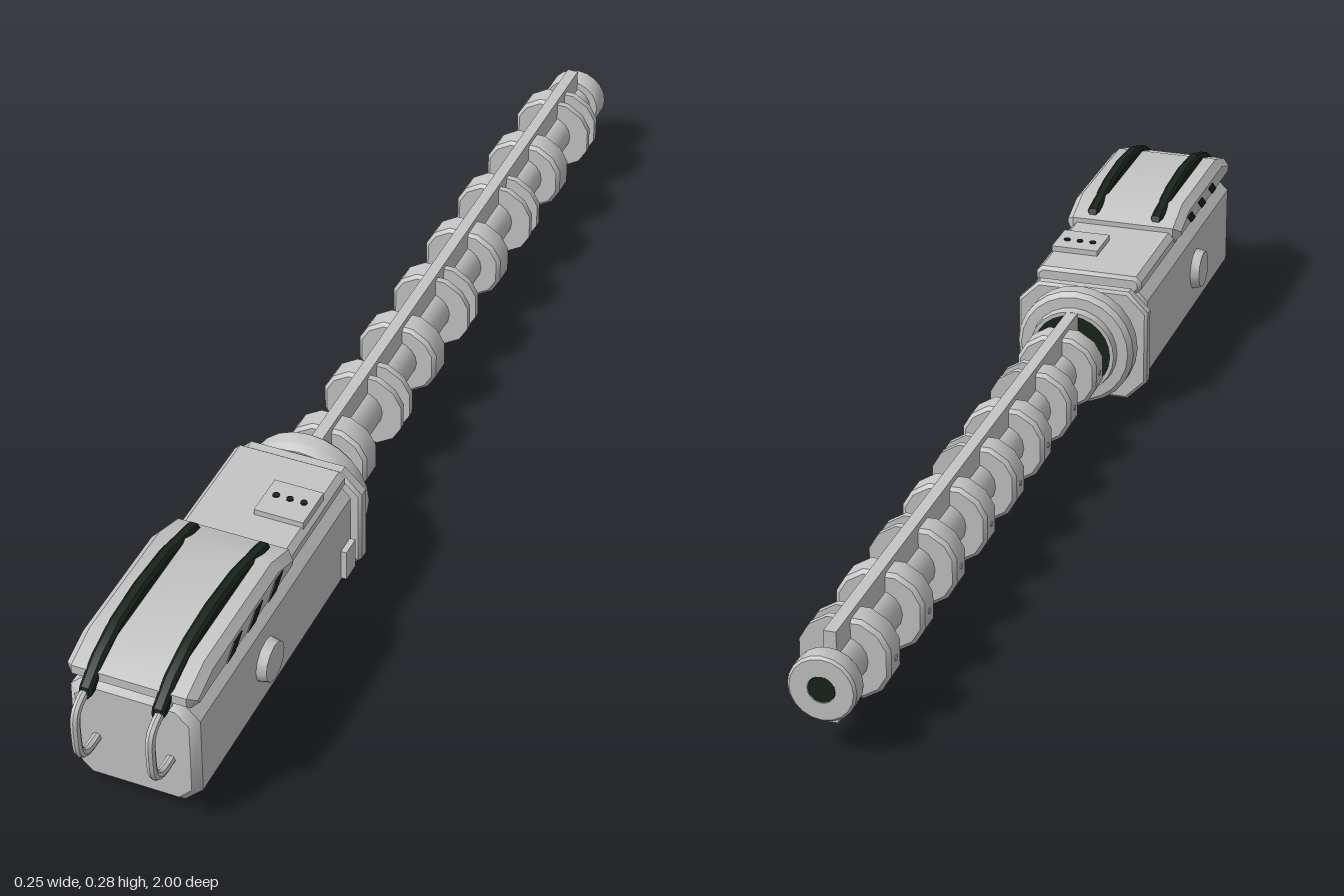
import * as THREE from 'three';
import { toCreasedNormals } from 'three/addons/utils/BufferGeometryUtils.js';

const steel = new THREE.MeshStandardMaterial({ color: 0xc5c5c5 });
steel.name = 'steelGrey';
const dark = new THREE.MeshStandardMaterial({ color: 0x19241c });
dark.name = 'darkRubber';

const AXIS = 0.109; // height of the barrel axis

export function createModel() {
  const model = new THREE.Group();

  const add = (name, geometry, material, x = 0, y = 0, z = 0) => {
    const mesh = new THREE.Mesh(toCreasedNormals(geometry, 0.6), material);
    mesh.name = name;
    mesh.position.set(x, y, z);
    model.add(mesh);
    return mesh;
  };
  const outline = (pts) => new THREE.Shape(pts.map(([x, y]) => new THREE.Vector2(x, y)));
  // Extrusion filling 0..length along z, with a bevel cut into the outline
  const prism = (pts, length, b = 0) => new THREE.ExtrudeGeometry(outline(pts), {
    depth: length - 2 * b, bevelEnabled: b > 0, bevelThickness: b, bevelSize: b,
    bevelOffset: -b, bevelSegments: 1, steps: 1,
  }).translate(0, 0, b);
  // Rectangle with cut corners
  const octagon = (w, y0, y1, c) => [
    [-w, y0 + c], [-w + c, y0], [w - c, y0], [w, y0 + c],
    [w, y1 - c], [w - c, y1], [-w + c, y1], [-w, y1 - c]];
  // Side profile in (z, y) extruded across x, centred
  const across = (pts, width, b = 0) => prism(pts.map(([z, y]) => [-z, y]), width, b)
    .translate(0, 0, -width / 2).rotateY(Math.PI / 2);
  // Lathe around the barrel axis, profile in (radius, z)
  const turned = (pts, sides) => new THREE.LatheGeometry(
    pts.map(([r, z]) => new THREE.Vector2(r, z)), sides).rotateX(Math.PI / 2);

  // Housing with its top cover and rear flange
  add('housing', prism(octagon(0.108, 0.006, 0.207, 0.03), 0.59, 0.013), steel, 0, 0, 0.34);
  add('rearCover', prism(octagon(0.097, 0.19, 0.223, 0.01), 0.25, 0.006), steel, 0, 0, 0.345);
  add('rearFlange', prism(octagon(0.119, 0.001, 0.207, 0.036), 0.026, 0.005), steel, 0, 0, 0.312);
  add('topHump', across([[0.92, 0.203], [0.935, 0.218], [0.935, 0.234], [0.87, 0.256],
    [0.63, 0.256], [0.565, 0.232], [0.565, 0.203]], 0.216, 0.013), steel);

  // Status panel with three dots
  add('statusPanel', new THREE.BoxGeometry(0.085, 0.014, 0.08), steel, 0.048, 0.226, 0.46);
  for (const x of [0.024, 0.048, 0.072]) {
    add('panelDot', new THREE.CylinderGeometry(0.006, 0.006, 0.003, 8), dark, x, 0.234, 0.455);
  }

  // Latch on one side only, with a dark pad on the chamfer below it
  add('sideLatch', new THREE.BoxGeometry(0.018, 0.056, 0.036), steel, 0.109, 0.068, 0.376);
  add('latchPad', new THREE.BoxGeometry(0.008, 0.022, 0.03).rotateZ(-Math.PI / 4),
    dark, 0.097, 0.023, 0.374);

  for (const s of [-1, 1]) {
    // Pivot cap
    add('sideCap', new THREE.CylinderGeometry(0.034, 0.038, 0.018, 12).rotateZ(-s * Math.PI / 2),
      steel, s * 0.115, 0.108, 0.685);
    // Slanted vents
    for (const z of [0.79, 0.715, 0.64]) {
      add('vent', across([[z + 0.034, 0.216], [z + 0.005, 0.216], [z - 0.022, 0.236],
        [z + 0.007, 0.236]], 0.006), dark, s * 0.107);
    }
    // Curved rubber strip over the hump
    add('rubberStrip', across([[0.965, 0.205], [0.96, 0.222], [0.915, 0.25], [0.85, 0.27],
      [0.77, 0.276], [0.68, 0.27], [0.58, 0.247], [0.575, 0.237], [0.63, 0.245],
      [0.87, 0.25], [0.925, 0.227], [0.945, 0.205]], 0.022, 0.005), dark, s * 0.06);
    // Front handle loop
    const path = new THREE.CatmullRomCurve3([[0.21, 0.925], [0.209, 0.965], [0.195, 0.988],
      [0.15, 0.992], [0.112, 0.985], [0.097, 0.965], [0.095, 0.925]]
      .map(([y, z]) => new THREE.Vector3(s * 0.062, y, z)));
    add('handleLoop', new THREE.TubeGeometry(path, 24, 0.008, 8), steel);
  }

  // Collar with a dark socket set just inside its lip
  add('collar', turned([[0.106, 0.3], [0.106, 0.273], [0.098, 0.264], [0.079, 0.263],
    [0.077, 0.247], [0.07, 0.247], [0.069, 0.262]].reverse()
    .concat([[0.098, 0.313], [0.05, 0.313]]), 24), steel, 0, AXIS);
  add('collarSocket', new THREE.CylinderGeometry(0.0695, 0.0695, 0.01, 24).rotateX(Math.PI / 2),
    dark, 0, AXIS, 0.256);

  // Barrel with one upright fin
  add('barrel', new THREE.CylinderGeometry(0.037, 0.037, 1.25, 16).rotateX(Math.PI / 2),
    steel, 0, AXIS, -0.345);
  add('barrelFin', new THREE.BoxGeometry(0.02, 0.152, 1.22), steel, 0, AXIS, -0.35);

  // Clamps: solid on one side, alternately solid and split on the other
  const half = [[0, -0.066], [0.027, -0.066], [0.056, -0.048], [0.071, -0.022],
    [0.071, 0.022], [0.056, 0.048], [0.027, 0.066], [0, 0.066]];
  const mirrored = half.map(([x, y]) => [-x, y]).reverse();
  for (let i = 0; i < 8; i++) {
    const z = 0.18 - i * 0.151;
    add('clampLeft', prism(mirrored, 0.05, 0.006), steel, 0, AXIS, z - 0.025);
    add('clampBolt', new THREE.CylinderGeometry(0.005, 0.005, 0.003, 8).rotateZ(Math.PI / 2),
      steel, -0.071, AXIS, z);
    if (i % 2 === 0) {
      add('clampRight', prism(half, 0.05, 0.006), steel, 0, AXIS, z - 0.025);
    } else {
      for (const dz of [-0.025, 0.013]) add('clampPlate', prism(half, 0.012), steel, 0, AXIS, z + dz);
    }
  }

  // End cap with a dark bore
  add('endCap', turned([[0.02, -0.985], [0.022, -1], [0.05, -1], [0.054, -0.996],
    [0.054, -0.968], [0.05, -0.962], [0.02, -0.962]], 20), steel, 0, AXIS);
  add('bore', new THREE.CylinderGeometry(0.0215, 0.0215, 0.006, 12).rotateX(Math.PI / 2),
    dark, 0, AXIS, -0.996);

  return model;
}
